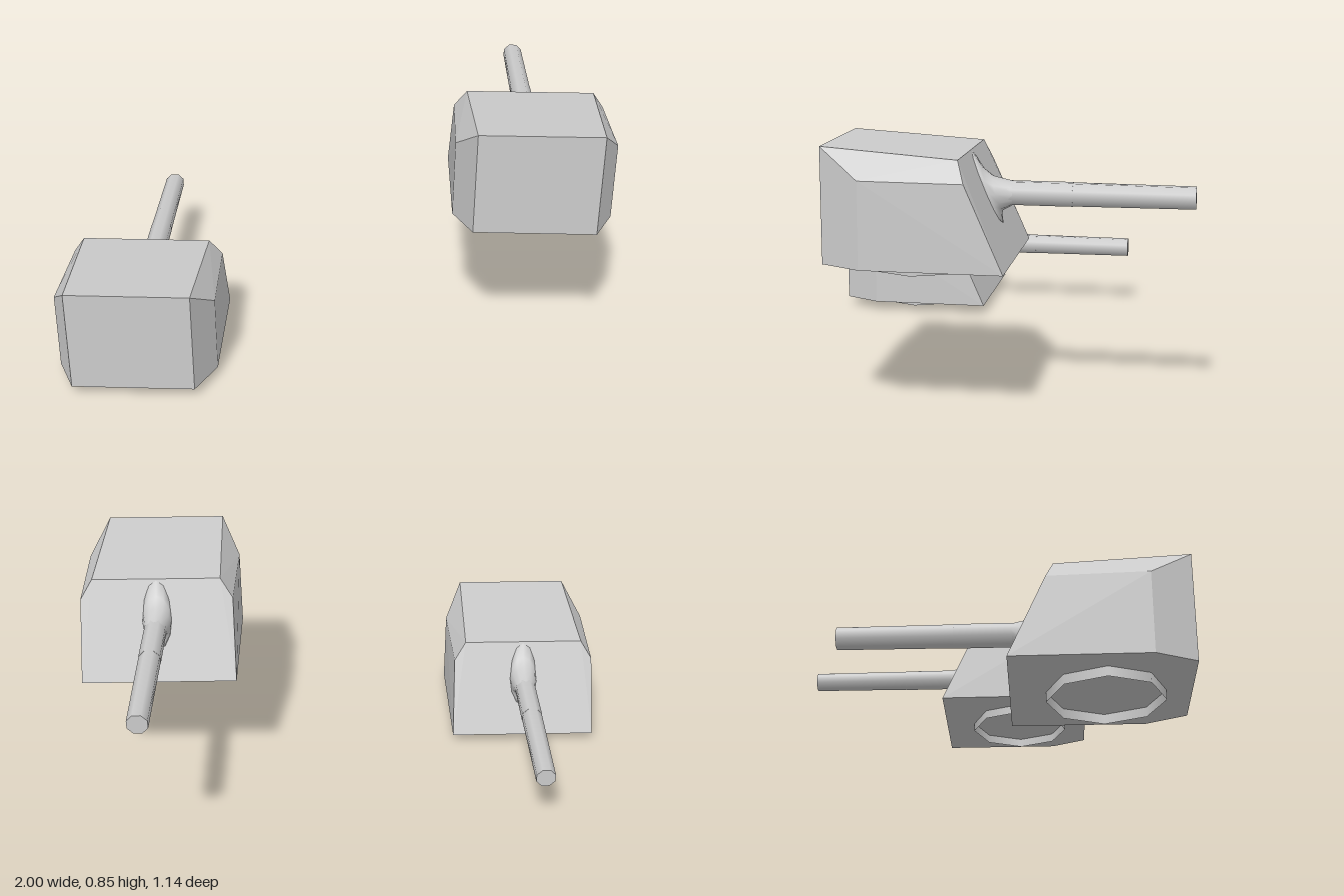
import * as THREE from 'three';
import { ConvexGeometry } from 'three/addons/geometries/ConvexGeometry.js';

const grey = new THREE.MeshStandardMaterial({ color: 0xcccccc });
const greyFlat = new THREE.MeshStandardMaterial({ color: 0xcccccc, flatShading: true });
const greyOpen = new THREE.MeshStandardMaterial({ color: 0xcccccc, side: THREE.DoubleSide });

const GUN_Y = 0.234; // height of the gun axis

function part(name, geometry, material) {
  const mesh = new THREE.Mesh(geometry, material);
  mesh.name = name;
  return mesh;
}

// Faceted armour housing: half of the corners, mirrored across x; the gun faces -z
function housingGeometry() {
  const half = [
    [0.208, 0.033, 0.268], [0.208, 0.395, 0.268], // rear wall
    [0.272, 0.033, 0.137], [0.272, 0.304, 0.137], // side, rear end
    [0.270, 0.033, -0.300], [0.264, 0.301, -0.181], // side, gun end
    [0.222, 0.366, -0.157], // roof, gun end
  ];
  const points = [];
  for (const [x, y, z] of half) {
    points.push(new THREE.Vector3(x, y, z), new THREE.Vector3(-x, y, z));
  }
  return new ConvexGeometry(points);
}

// Flared collar: oval loops leaning with the sloped gun face, tapering to the barrel
function mantletGeometry() {
  // distance forward, half width, reach up, reach down, lean
  const loops = [
    [0.180, 0.050, 0.131, 0.095, 0.446],
    [0.215, 0.050, 0.130, 0.095, 0.446],
    [0.222, 0.050, 0.080, 0.075, 0.400],
    [0.240, 0.048, 0.052, 0.056, 0.300],
    [0.290, 0.037, 0.037, 0.037, 0.000],
  ];
  const sides = 12;
  const positions = [];
  const index = [];
  loops.forEach(([forward, w, up, down, lean], k) => {
    for (let i = 0; i < sides; i++) {
      const a = (i / sides) * Math.PI * 2;
      const dy = Math.sin(a) * (Math.sin(a) > 0 ? up : down);
      positions.push(Math.cos(a) * w, GUN_Y + dy, -(forward - lean * dy));
      if (k === 0) continue;
      const j = (i + 1) % sides;
      const p = (k - 1) * sides, q = k * sides;
      index.push(p + i, q + i, p + j, p + j, q + i, q + j);
    }
  });
  const g = new THREE.BufferGeometry();
  g.setAttribute('position', new THREE.Float32BufferAttribute(positions, 3));
  g.setIndex(index);
  g.computeVertexNormals();
  return g;
}

// Tube section running from one forward distance to another
function barrelGeometry(from, to, r0, r1) {
  const g = new THREE.CylinderGeometry(r1, r0, to - from, 8);
  g.rotateY(Math.PI / 8);
  g.rotateX(-Math.PI / 2);
  g.translate(0, GUN_Y, -(from + to) / 2);
  return g;
}

function createTurret(name) {
  const turret = new THREE.Group();
  turret.name = name;
  // open eight-sided ring the housing turns on
  const ring = new THREE.CylinderGeometry(0.187, 0.187, 0.034, 8, 1, true);
  ring.translate(0, 0.017, 0);
  turret.add(
    part('baseRing', ring, greyOpen),
    part('housing', housingGeometry(), greyFlat),
    part('mantlet', mantletGeometry(), greyOpen),
    part('barrelSleeve', barrelGeometry(0.2, 0.475, 0.039, 0.039), grey),
    part('barrel', barrelGeometry(0.475, 0.85, 0.038, 0.036), grey),
  );
  turret.rotation.y = -0.218;
  return turret;
}

export function createModel() {
  const model = new THREE.Group();
  model.name = 'gunTurrets';
  const lower = createTurret('lowerTurret');
  lower.position.set(-0.705, 0, 0.2625);
  const upper = createTurret('upperTurret');
  upper.position.set(0.67, 0.458, 0.2625);
  model.add(lower, upper);
  return model;
}
